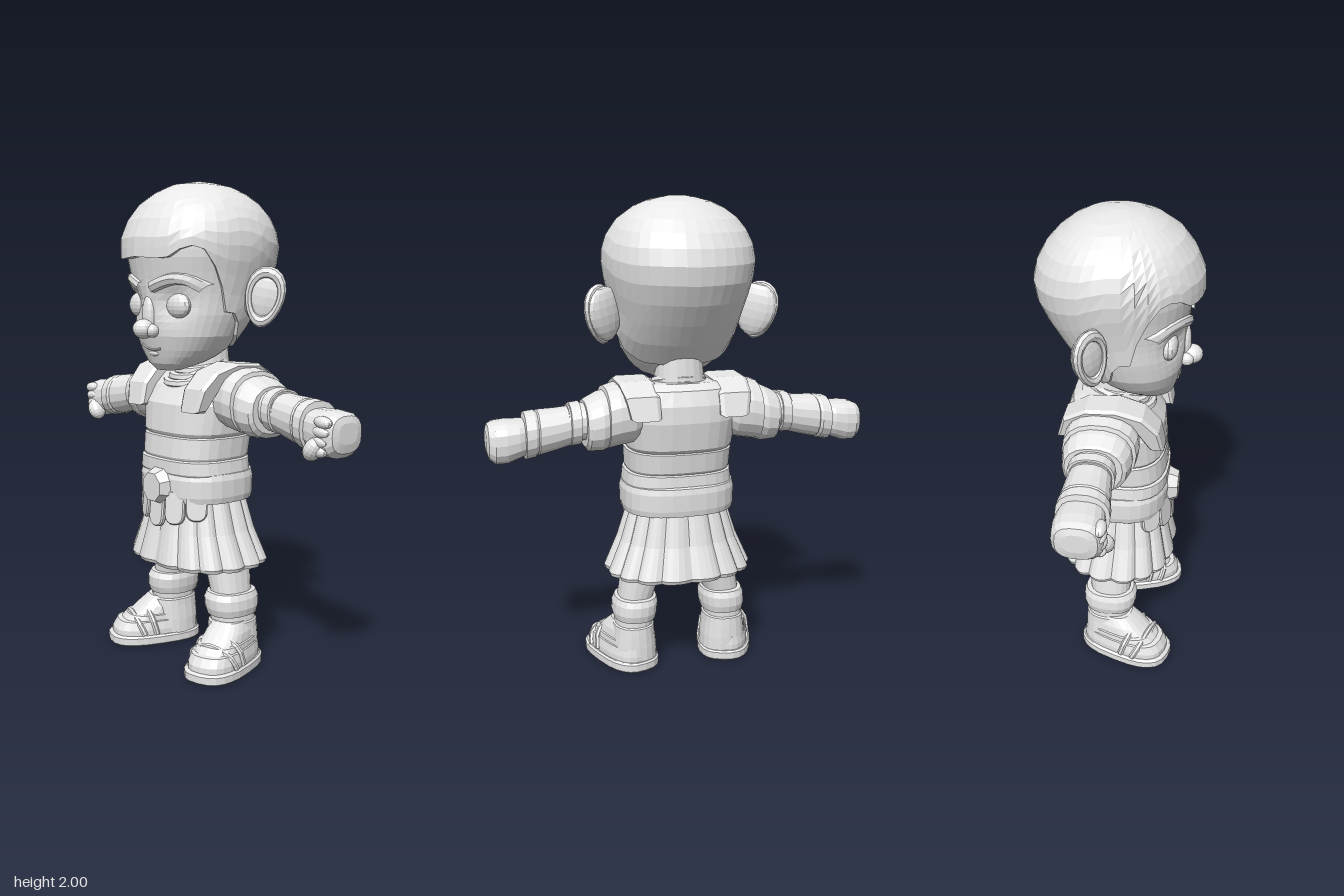
import * as THREE from 'three';

const stone = new THREE.MeshStandardMaterial({ color: 0xe7e7e7, flatShading: true });
stone.name = 'light grey';

// Closed skin over a list of rings (arrays of Vector3)
function skin(rings) {
  const n = rings[0].length, pos = [], idx = [];
  rings.forEach(r => r.forEach(p => pos.push(p.x, p.y, p.z)));
  for (let i = 0; i < rings.length - 1; i++) for (let j = 0; j < n; j++) {
    const a = i * n + j, b = i * n + (j + 1) % n;
    idx.push(a, a + n, b, b, a + n, b + n);
  }
  [0, rings.length - 1].forEach((k, top) => {
    const c = new THREE.Vector3();
    rings[k].forEach(p => c.addScaledVector(p, 1 / n));
    const m = pos.length / 3;
    pos.push(c.x, c.y, c.z);
    for (let j = 0; j < n; j++) {
      const a = k * n + j, b = k * n + (j + 1) % n;
      idx.push(...(top ? [m, b, a] : [m, a, b]));
    }
  });
  const g = new THREE.BufferGeometry();
  g.setAttribute('position', new THREE.Float32BufferAttribute(pos, 3));
  g.setIndex(idx);
  g.computeVertexNormals();
  return g;
}

const pow = (v, e) => Math.sign(v) * Math.abs(v) ** (2 / e);

// Rows are [position, half width, front z, back z, centre offset], along y or x
function loft(rows, { e = 2.3, n = 20, axis = 'y', mod = () => 1 } = {}) {
  return skin(rows.map(([u, r, f, b, c = 0], i) => Array.from({ length: n }, (_, j) => {
    const t = j / n * Math.PI * 2, k = mod(j, i), C = pow(Math.cos(t), e) * k, S = pow(Math.sin(t), e) * k;
    const mid = (f + b) / 2, d = (f - b) / 2;
    return axis === 'y' ? new THREE.Vector3(c + r * C, u, mid + d * S) : new THREE.Vector3(u, c + r * S, mid + d * C);
  })));
}

function ball(x, y, z, rx, ry, rz, rot = 0) {
  return new THREE.SphereGeometry(1, 14, 10).scale(rx, ry, rz).rotateZ(rot).translate(x, y, z);
}

function tube(points, r, seg = 10) {
  const c = new THREE.CatmullRomCurve3(points.map(p => new THREE.Vector3(...p)));
  return new THREE.TubeGeometry(c, seg, r, 7, false);
}

// Move every vertex by a rule
function reshape(geo, rule) {
  const p = geo.attributes.position, v = new THREE.Vector3();
  for (let i = 0; i < p.count; i++) {
    rule(v.fromBufferAttribute(p, i));
    p.setXYZ(i, v.x, v.y, v.z);
  }
  geo.computeVertexNormals();
  return geo;
}

function mirrored(geo) {
  const g = geo.index ? geo.toNonIndexed() : geo.clone();
  g.scale(-1, 1, 1);
  const p = g.attributes.position, a = new THREE.Vector3(), b = new THREE.Vector3();
  for (let i = 0; i < p.count; i += 3) {
    a.fromBufferAttribute(p, i + 1);
    b.fromBufferAttribute(p, i + 2);
    p.setXYZ(i + 1, b.x, b.y, b.z);
    p.setXYZ(i + 2, a.x, a.y, a.z);
  }
  g.computeVertexNormals();
  return g;
}

function lookup(table, v) {
  let i = 0;
  while (i < table.length - 2 && v > table[i + 1][0]) i++;
  const A = table[i], B = table[i + 1];
  const t = THREE.MathUtils.clamp((v - A[0]) / (B[0] - A[0]), 0, 1);
  return A.map((q, k) => q + (B[k] - q) * t);
}

// Head profile: y, half width, front z, back z
const HEAD = [[1.24, 0.055, 0.205, 0.11], [1.265, 0.115, 0.225, 0.03], [1.31, 0.176, 0.24, -0.07], [1.38, 0.222, 0.258, -0.13],
  [1.46, 0.245, 0.265, -0.19], [1.54, 0.256, 0.272, -0.245], [1.62, 0.274, 0.28, -0.295], [1.7, 0.294, 0.293, -0.32], [1.77, 0.297, 0.292, -0.312],
  [1.84, 0.275, 0.263, -0.277], [1.9, 0.23, 0.218, -0.222], [1.95, 0.158, 0.15, -0.155], [1.975, 0.09, 0.09, -0.09], [1.985, 0.015, 0.015, -0.015]];
const HE = 2.15;
function headPoint(y, t, off = 0) {
  const [, w, f, b] = lookup(HEAD, y);
  return new THREE.Vector3((w + off) * pow(Math.cos(t), HE), y, (f + b) / 2 + ((f - b) / 2 + off) * pow(Math.sin(t), HE));
}
function faceZ(x, y) {
  const [, w, f, b] = lookup(HEAD, y);
  return (f + b) / 2 + (f - b) / 2 * (1 - Math.min(1, Math.abs(x) / w) ** HE) ** (1 / HE);
}

export function createModel() {
  const model = new THREE.Group();
  model.name = 'armouredBoy';
  const add = (name, geo) => {
    const m = new THREE.Mesh(geo, stone);
    m.name = name;
    model.add(m);
  };
  const pair = (name, geo) => {
    add(name + 'Left', geo);
    add(name + 'Right', mirrored(geo));
  };

  // Head with shallow eye sockets
  const N = 40, turn = j => j / N * Math.PI * 2;
  add('head', reshape(skin(Array.from({ length: 27 }, (_, i) => Array.from({ length: N }, (_, j) => headPoint(1.24 + 0.735 * i / 26, turn(j))))), p => {
    if (p.z > 0.1) p.z -= 0.028 * Math.exp(-(((Math.abs(p.x) - 0.12) / 0.065) ** 2) - ((p.y - 1.515) / 0.06) ** 2);
  }));

  // Hair cap: lower edge by degrees away from the front
  const EDGE = [[0, 1.695], [25, 1.685], [40, 1.735], [52, 1.735], [68, 1.62], [80, 1.48], [94, 1.47], [106, 1.39], [130, 1.335], [180, 1.32]];
  add('hair', skin(Array.from({ length: 14 }, (_, i) => Array.from({ length: N }, (_, j) => {
    const away = Math.abs(((j / N * 360 - 90 + 540) % 360) - 180), low = lookup(EDGE, away)[1];
    const s = Math.max(0, i - 1) / 12, y = low + (1.985 - low) * Math.sin(s * Math.PI / 2);
    const quiff = Math.max(0, 1 - away / 60) * 0.024 * (1 - s);
    const p = headPoint(y, turn(j), i ? 0.016 + quiff : -0.012);
    p.y += 0.015 * s;
    return p;
  }))));

  // Face
  pair('eye', ball(0.124, 1.503, faceZ(0.124, 1.503) - 0.032, 0.07, 0.052, 0.034));
  pair('brow', reshape(tube([[0.038, 1.576], [0.08, 1.592], [0.14, 1.608], [0.19, 1.602], [0.228, 1.57]]
    .map(([x, y]) => [x, y, 0]), 0.024), p => { p.z = p.z * 0.8 + faceZ(p.x, p.y); }));
  add('noseBridge', ball(0, 1.46, 0.262, 0.034, 0.085, 0.024));
  add('noseTip', ball(0, 1.41, 0.288, 0.044, 0.04, 0.046));
  pair('nostril', ball(0.036, 1.403, 0.272, 0.026, 0.027, 0.028));
  add('mouth', tube([[-0.07, 1.345], [-0.03, 1.328], [0.02, 1.325], [0.055, 1.333]].map(([x, y]) => [x, y, faceZ(x, y)]), 0.005));
  add('lowerLip', ball(0, 1.31, faceZ(0, 1.31) - 0.007, 0.035, 0.012, 0.012));

  // Ears: solid bowl and raised rim, narrowing towards the lobe
  const placeEar = g => reshape(g, p => { p.x *= 1 + 1.4 * p.y; }).rotateZ(-0.2).rotateY(0.6).translate(0.335, 1.537, -0.06);
  pair('ear', placeEar(ball(-0.01, 0, -0.018, 0.088, 0.11, 0.032)));
  pair('earRim', placeEar(new THREE.TorusGeometry(0.072, 0.018, 8, 20).scale(0.9, 1.36, 1)));

  // Neck and collar folds
  add('neck', loft([[1.16, 0.13, 0.09, -0.15], [1.25, 0.105, 0.07, -0.13], [1.4, 0.09, 0.06, -0.12]]));
  for (let i = 0; i < 3; i++) {
    add('collarFold', new THREE.TorusGeometry(0.098 + i * 0.014, 0.02, 7, 24).rotateX(Math.PI / 2).rotateX(0.24)
      .translate(0, 1.25 - i * 0.022, -0.015 + i * 0.013));
  }

  // Cuirass with stepped bands
  add('cuirass', loft([[0.8, 0.225, 0.205, -0.165], [0.82, 0.232, 0.215, -0.172], [0.87, 0.226, 0.215, -0.17], [0.875, 0.216, 0.204, -0.163],
    [0.885, 0.22, 0.208, -0.17], [0.965, 0.224, 0.2, -0.182], [0.97, 0.216, 0.192, -0.178], [0.985, 0.226, 0.2, -0.19],
    [1.1, 0.24, 0.19, -0.21], [1.17, 0.232, 0.145, -0.207], [1.23, 0.21, 0.085, -0.185], [1.255, 0.16, 0.05, -0.15]], { e: 2.7, n: 28 }));
  const strap = new THREE.Shape([[0.198, 1.09], [0.18, 1.17], [0.12, 1.235], [0.02, 1.265], [-0.1, 1.258], [-0.185, 1.21], [-0.21, 1.13],
    [-0.17, 1.13], [-0.15, 1.18], [-0.08, 1.21], [0.02, 1.215], [0.1, 1.185], [0.14, 1.12], [0.16, 1.09]].map(p => new THREE.Vector2(...p)));
  pair('shoulderStrap', reshape(new THREE.ExtrudeGeometry(strap, { depth: 0.085, bevelSize: 0.01, bevelThickness: 0.014, bevelSegments: 1 })
    .rotateY(-Math.PI / 2).translate(0.224, 0, 0), p => { p.x += (p.x - 0.125) * (p.y - 1.09) * 1.9; }));

  // Sleeves and arms
  const along = { axis: 'x', n: 18 };
  pair('shoulderPlate', loft([[0.17, 0.1, 0.08, -0.15, 1.14], [0.22, 0.125, 0.11, -0.18, 1.13], [0.28, 0.13, 0.118, -0.185, 1.125],
    [0.325, 0.128, 0.112, -0.185, 1.115], [0.33, 0.11, 0.09, -0.16, 1.11]], along));
  pair('sleeve', loft([[0.28, 0.115, 0.095, -0.165, 1.12], [0.35, 0.122, 0.1, -0.18, 1.1], [0.4, 0.108, 0.085, -0.17, 1.09],
    [0.412, 0.095, 0.07, -0.16, 1.095], [0.412, 0.06, 0.04, -0.13, 1.1]], along));
  pair('upperArm', loft([[0.38, 0.076, 0.045, -0.135, 1.105], [0.48, 0.076, 0.04, -0.13, 1.1]], along));
  pair('bracer', loft([[0.43, 0.06, 0.03, -0.12, 1.1], [0.432, 0.088, 0.05, -0.14, 1.1], [0.472, 0.088, 0.05, -0.14, 1.095],
    [0.475, 0.08, 0.04, -0.132, 1.09], [0.53, 0.085, 0.046, -0.137, 1.08], [0.6, 0.092, 0.055, -0.142, 1.07], [0.605, 0.087, 0.05, -0.137, 1.07],
    [0.615, 0.095, 0.06, -0.145, 1.066], [0.655, 0.096, 0.062, -0.147, 1.06], [0.66, 0.065, 0.03, -0.115, 1.06]], along));
  pair('hand', loft([[0.63, 0.07, 0.04, -0.12, 1.06], [0.68, 0.078, 0.05, -0.138, 1.052], [0.73, 0.088, 0.058, -0.142, 1.043],
    [0.775, 0.086, 0.056, -0.138, 1.04], [0.8, 0.07, 0.04, -0.12, 1.045], [0.808, 0.04, 0.01, -0.09, 1.05]], { ...along, e: 2.7 }));
  for (let i = 0; i < 4; i++) pair('finger', ball(0.757 - i * 0.007, 1.093 - i * 0.036, 0.042, 0.042, 0.023, 0.024, -0.1));
  pair('thumb', ball(0.715, 0.99, 0.046, 0.036, 0.05, 0.042, -0.6));

  // Belt and buckle
  add('belt', loft([[0.695, 0.21, 0.18, -0.17], [0.7, 0.236, 0.212, -0.185], [0.725, 0.242, 0.218, -0.19], [0.795, 0.243, 0.22, -0.192],
    [0.82, 0.236, 0.212, -0.187], [0.825, 0.21, 0.18, -0.17]], { e: 2.5, n: 28 }));
  add('buckle', new THREE.CylinderGeometry(0.062, 0.084, 0.05, 8).rotateY(Math.PI / 8).rotateX(Math.PI / 2).translate(0, 0.758, 0.232));

  // Pleated skirt, hollow underneath
  const pleat = [0.955, 1.0, 1.02, 1.015, 1.0];
  add('skirt', loft([[0.62, 0.2, 0.16, -0.15], [0.43, 0.29, 0.228, -0.22], [0.425, 0.307, 0.242, -0.236], [0.44, 0.312, 0.249, -0.242],
    [0.57, 0.255, 0.22, -0.198], [0.72, 0.208, 0.19, -0.165]], { n: 80, mod: (j, i) => i < 2 ? 1 : pleat[j % 5] }));
  const tab = new THREE.Shape();
  tab.moveTo(-0.04, 0.13).lineTo(-0.04, 0.035).quadraticCurveTo(-0.036, 0, 0, 0).quadraticCurveTo(0.036, 0, 0.04, 0.035).lineTo(0.04, 0.13);
  for (let i = -2; i <= 2; i++) {
    const a = i * 0.41;
    add('beltTab', new THREE.ExtrudeGeometry(tab, { depth: 0.012, bevelSize: 0.005, bevelThickness: 0.006, bevelSegments: 1, curveSegments: 4 })
      .rotateX(-0.1).rotateY(a).translate(Math.sin(a) * 0.235, 0.592 + Math.abs(i) * 0.02, 0.01 + Math.cos(a) * 0.212));
  }

  // Legs, cuffs and boots
  pair('leg', loft([[0.2, 0.075, 0.075, -0.105, 0.2], [0.32, 0.076, 0.075, -0.1, 0.193], [0.42, 0.085, 0.08, -0.11, 0.17], [0.6, 0.1, 0.1, -0.12, 0.13]]));
  pair('shinCuff', loft([[0.215, 0.075, 0.07, -0.1, 0.2], [0.22, 0.09, 0.092, -0.122, 0.2], [0.25, 0.097, 0.102, -0.13, 0.2],
    [0.29, 0.097, 0.104, -0.13, 0.197], [0.315, 0.089, 0.09, -0.12, 0.195], [0.318, 0.065, 0.07, -0.1, 0.195]]));
  pair('bootShaft', loft([[0.03, 0.1, 0.09, -0.122, 0.205], [0.1, 0.097, 0.09, -0.122, 0.205], [0.16, 0.09, 0.092, -0.12, 0.205],
    [0.19, 0.088, 0.09, -0.118, 0.205], [0.195, 0.081, 0.08, -0.112, 0.205], [0.235, 0.08, 0.082, -0.112, 0.203]]));
  const placeFoot = g => g.rotateY(0.32).translate(0.218, 0, -0.005);
  const toeWide = { e: 2.7, n: 24, mod: j => 1 + 0.03 * Math.sin(j / 24 * Math.PI * 2) };
  pair('sole', placeFoot(loft([[0, 0.115, 0.267, -0.135], [0.006, 0.121, 0.274, -0.139], [0.035, 0.121, 0.274, -0.139], [0.042, 0.113, 0.264, -0.132]], toeWide)));
  pair('foot', placeFoot(loft([[0.03, 0.108, 0.258, -0.125], [0.065, 0.108, 0.256, -0.125], [0.1, 0.101, 0.236, -0.12], [0.103, 0.096, 0.215, -0.115],
    [0.125, 0.094, 0.195, -0.115], [0.128, 0.088, 0.175, -0.11], [0.16, 0.083, 0.138, -0.105], [0.2, 0.066, 0.09, -0.095]], toeWide)));
  // Sandal bands across the instep
  [[0.125, 0.154], [0.18, 0.126]].forEach(([z, top]) => pair('footBand', placeFoot(
    tube([[-0.106, 0.045, z - 0.03], [-0.09, top - 0.035, z - 0.01], [0, top, z], [0.09, top - 0.035, z - 0.01], [0.106, 0.045, z - 0.03]], 0.013, 12))));

  return model;
}
